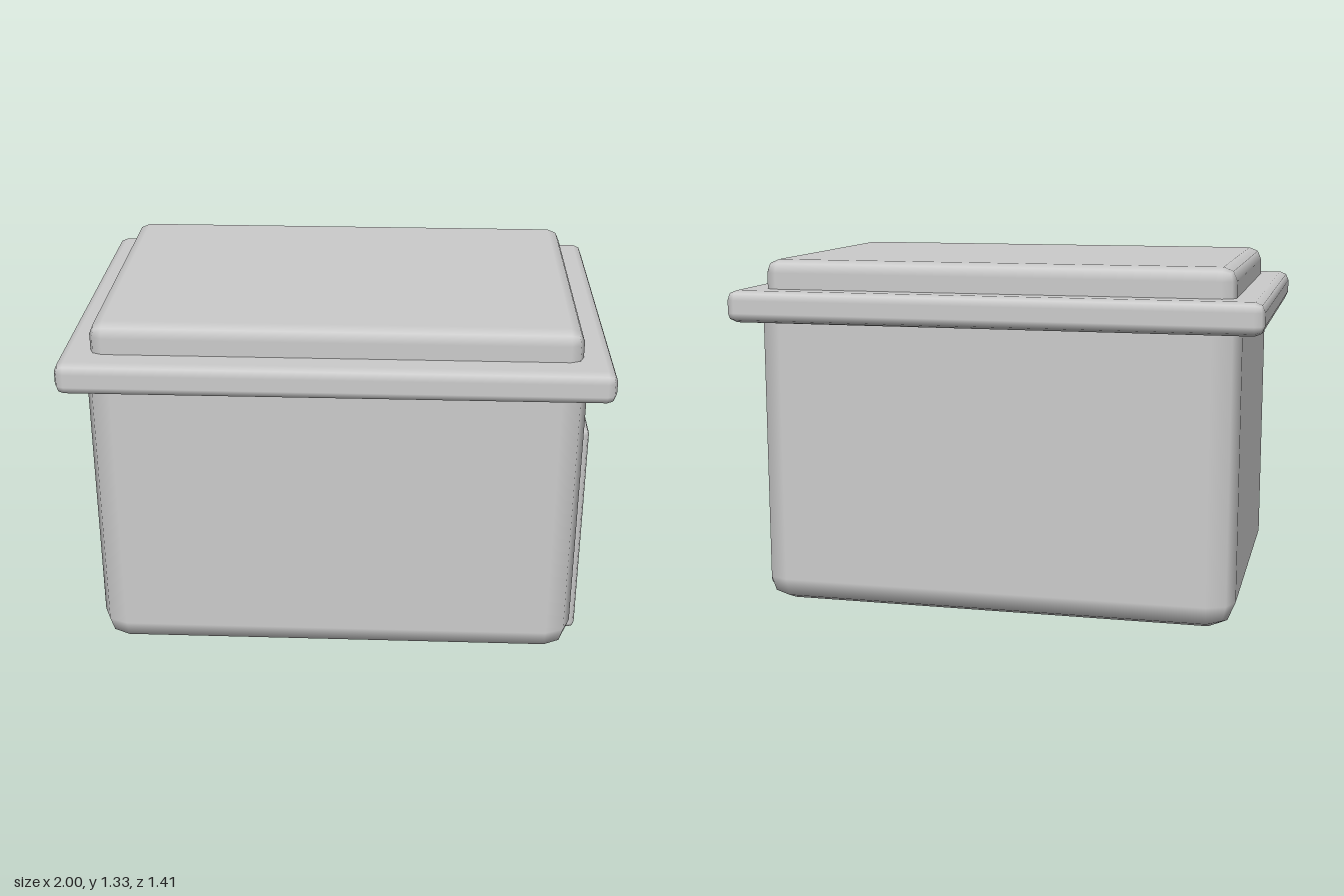
import * as THREE from 'three';
import { RoundedBoxGeometry } from 'three/addons/geometries/RoundedBoxGeometry.js';

export function createModel() {
  const group = new THREE.Group();
  const grey = new THREE.MeshStandardMaterial({ color: 0xcccccc });
  grey.name = 'plain grey';

  // Bevelled box given by its min and max corners
  const block = (name, min, max, bevel) => {
    const size = max.map((v, i) => v - min[i]);
    const mesh = new THREE.Mesh(new RoundedBoxGeometry(...size, 1, bevel), grey);
    mesh.position.set(...max.map((v, i) => (v + min[i]) / 2));
    mesh.name = name;
    group.add(mesh);
  };

  // Main box, its top bevel hidden inside the rim
  block('body', [-0.912, 0, -0.64], [0.912, 1.19, 0.64], 0.1);

  // Overhanging rim and raised lid
  block('rim', [-1, 1.1, -0.705], [1, 1.22, 0.705], 0.036);
  block('lid', [-0.89, 1.15, -0.595], [0.89, 1.33, 0.595], 0.05);

  // Door on the +x end, with a thinner backing plate peeking out above it
  block('doorBacking', [0.86, 0.06, -0.47], [0.924, 0.93, 0.47], 0.02);
  block('door', [0.87, 0.03, -0.498], [0.94, 0.905, 0.498], 0.022);

  return group;
}
